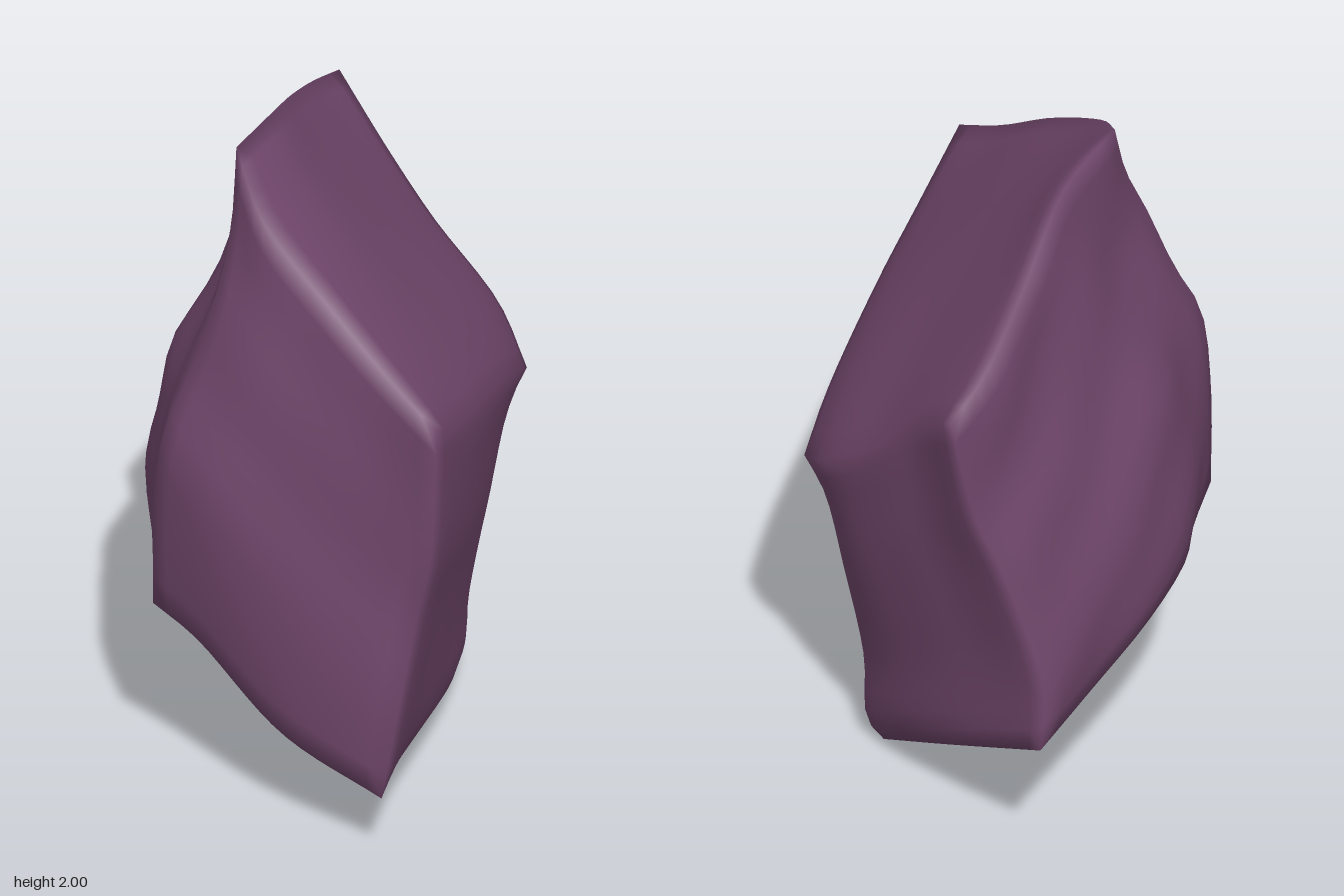
import * as THREE from 'three';
import { mergeVertices } from 'three/addons/utils/BufferGeometryUtils.js';

const N = 16; // grid cells along each side of a rock face

// Eight corners of the skewed boulder
const corners = {
  crown: [-0.32, 2.0, 0.12],
  shoulder: [0.6, 1.01, -0.2],
  foot: [0.36, 0.0, -0.22],
  backTop: [0.13, 1.65, -0.96],
  backLow: [-0.14, 0.48, -0.97],
  frontTop: [0.18, 1.44, 0.95],
  frontLow: [0.01, 0.21, 0.97],
  flank: [-0.6, 0.58, 0.34],
};

// Twelve ridges: end, end, points in between
const ridges = [
  ['crown', 'backTop', [-0.18, 1.96, -0.15], [-0.07, 1.83, -0.5], [0.04, 1.71, -0.8]],
  ['crown', 'frontTop', [-0.27, 1.87, 0.36], [-0.11, 1.71, 0.6], [0.05, 1.55, 0.79]],
  ['crown', 'flank', [-0.35, 1.78, 0.22], [-0.41, 1.58, 0.31], [-0.49, 1.36, 0.34], [-0.57, 1.18, 0.37], [-0.6, 0.9, 0.36]],
  ['shoulder', 'backTop', [0.54, 1.13, -0.4], [0.37, 1.32, -0.6], [0.25, 1.49, -0.73]],
  ['shoulder', 'frontTop', [0.54, 1.11, 0.0], [0.4, 1.25, 0.4], [0.3, 1.33, 0.66]],
  ['shoulder', 'foot', [0.54, 0.88, -0.2], [0.48, 0.62, -0.22], [0.42, 0.3, -0.22], [0.41, 0.08, -0.23]],
  ['foot', 'frontLow', [0.29, 0.06, 0.1], [0.19, 0.11, 0.4], [0.09, 0.16, 0.68]],
  ['foot', 'backLow', [0.15, 0.23, -0.58]],
  ['backTop', 'backLow', [0.06, 1.3, -0.93], [-0.03, 1.08, -0.93], [-0.15, 0.68, -0.95]],
  ['frontTop', 'frontLow', [0.16, 1.0, 0.95], [0.12, 0.8, 0.94], [0.06, 0.5, 0.97]],
  ['frontLow', 'flank', [-0.26, 0.32, 0.73], [-0.49, 0.53, 0.48]],
  ['flank', 'backLow', [-0.56, 0.59, 0.1], [-0.54, 0.64, -0.2], [-0.44, 0.6, -0.45], [-0.28, 0.53, -0.72]],
];

// Six faces: corners counter-clockwise from outside, swelling, roughness
const faces = [
  ['shoulder', 'backTop', 'crown', 'frontTop', 0.035, 0],
  ['shoulder', 'frontTop', 'frontLow', 'foot', 0.035, 0],
  ['shoulder', 'foot', 'backLow', 'backTop', 0.03, 0],
  ['crown', 'backTop', 'backLow', 'flank', 0.04, 0.009],
  ['frontLow', 'frontTop', 'crown', 'flank', 0.02, 0],
  ['foot', 'frontLow', 'flank', 'backLow', 0.01, 0],
];

const vec = (p) => new THREE.Vector3(...p);

function sampleRidges() {
  const lines = {};
  for (const [a, b, ...mid] of ridges) {
    const curve = new THREE.CatmullRomCurve3([corners[a], ...mid, corners[b]].map(vec), false, 'centripetal');
    const pts = curve.getSpacedPoints(N);
    lines[a + b] = pts;
    lines[b + a] = [...pts].reverse();
  }
  return lines;
}

// Outward swelling with chipped unevenness, zero along the ridges
function relief(u, v, swell, rough) {
  const fade = Math.sqrt(16 * u * (1 - u) * v * (1 - v));
  return fade * (swell + rough * (Math.sin(17 * u + 5 * v) + Math.sin(19 * v - 8 * u)));
}

function createRockGeometry() {
  const lines = sampleRidges();
  const positions = [];
  const index = [];
  for (const [a, b, c, d, swell, rough] of faces) {
    const [A, B, C, D] = [a, b, c, d].map((n) => vec(corners[n]));
    const out = B.clone().sub(D).cross(C.clone().sub(A)).normalize();
    const base = positions.length / 3;
    for (let j = 0; j <= N; j++) {
      for (let i = 0; i <= N; i++) {
        const u = i / N, v = j / N;
        // Blend the four bounding ridges into one patch
        const p = new THREE.Vector3()
          .addScaledVector(lines[a + b][i], 1 - v)
          .addScaledVector(lines[d + c][i], v)
          .addScaledVector(lines[a + d][j], 1 - u)
          .addScaledVector(lines[b + c][j], u)
          .addScaledVector(A, -(1 - u) * (1 - v))
          .addScaledVector(B, -u * (1 - v))
          .addScaledVector(C, -u * v)
          .addScaledVector(D, -(1 - u) * v)
          .addScaledVector(out, relief(u, v, swell, rough));
        positions.push(p.x, p.y, p.z);
        if (i < N && j < N) {
          const k = base + j * (N + 1) + i;
          index.push(k, k + 1, k + N + 2, k, k + N + 2, k + N + 1);
        }
      }
    }
  }
  let geometry = new THREE.BufferGeometry();
  geometry.setAttribute('position', new THREE.Float32BufferAttribute(positions, 3));
  geometry.setIndex(index);
  // Weld the ridges so shading rolls softly over them
  geometry = mergeVertices(geometry, 1e-3);
  geometry.computeVertexNormals();
  return geometry;
}

export function createModel() {
  const group = new THREE.Group();
  group.name = 'rock';
  const stone = new THREE.MeshStandardMaterial({ color: 0x6f466a });
  stone.name = 'purple stone';
  const boulder = new THREE.Mesh(createRockGeometry(), stone);
  boulder.name = 'boulder';
  group.add(boulder);
  return group;
}
